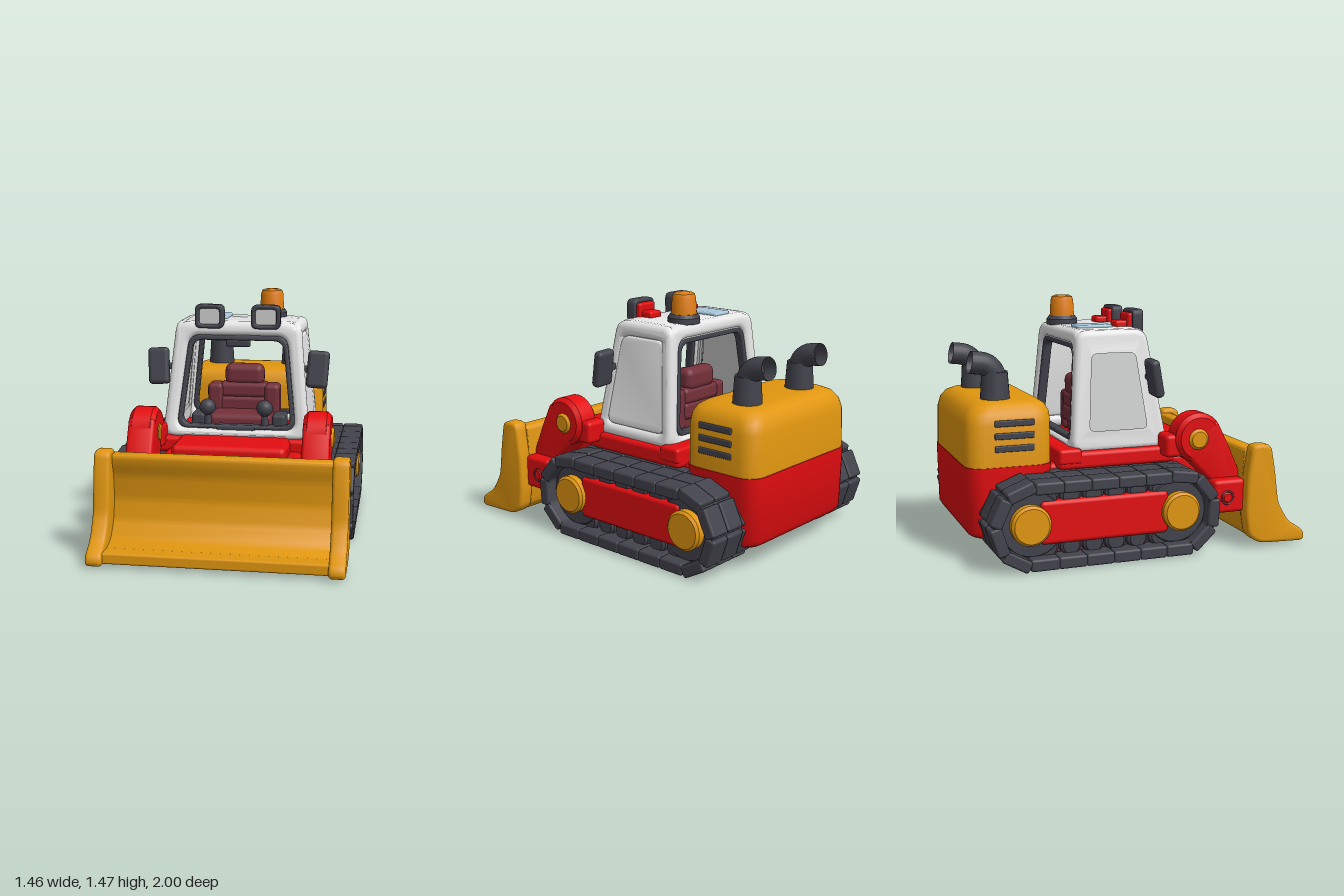
import * as THREE from 'three';
import { toCreasedNormals } from 'three/addons/utils/BufferGeometryUtils.js';
import { RoundedBoxGeometry } from 'three/addons/geometries/RoundedBoxGeometry.js';

const mat = (name, color, side = THREE.FrontSide) => {
  const m = new THREE.MeshStandardMaterial({ color, side });
  m.name = name;
  return m;
};

// Closed outline with rounded corners
function roundPoly(pts, r, Type = THREE.Shape) {
  const s = new Type(), n = pts.length, v = pts.map(p => new THREE.Vector2(...p));
  for (let i = 0; i < n; i++) {
    const c = v[i], p = v[(i + n - 1) % n], q = v[(i + 1) % n];
    const a = c.clone().lerp(p, Math.min(0.48, r / c.distanceTo(p)));
    const b = c.clone().lerp(q, Math.min(0.48, r / c.distanceTo(q)));
    if (i) s.lineTo(a.x, a.y); else s.moveTo(a.x, a.y);
    s.quadraticCurveTo(c.x, c.y, b.x, b.y);
  }
  s.closePath();
  return s;
}

// Extrusion whose outer face lies at z = 0
function slab(shape, d, b) {
  const g = new THREE.ExtrudeGeometry(shape, { depth: d - 2 * b, bevelEnabled: b > 0, bevelThickness: b,
    bevelSize: b, bevelOffset: -b, bevelSegments: 3, curveSegments: 6 });
  return g.translate(0, 0, b - d);
}

// (z, y) profile extruded from x0 to x1
function sideSlab(pts, x0, x1, r, b) {
  const g = slab(roundPoly(pts, r), x1 - x0, b).rotateY(-Math.PI / 2).translate(x0, 0, 0);
  return toCreasedNormals(g, 0.7);
}

// Stack of rounded rectangles, rings = [y, halfX, halfZ, centreZ, cornerRadius]
function loft(rings) {
  const pos = [], idx = [], N = 24;
  for (const [y, hx, hz, cz, r] of rings) for (let c = 0; c < 4; c++) for (let k = 0; k < 6; k++) {
    const a = (c + k / 5) * Math.PI / 2, sx = c === 0 || c === 3 ? 1 : -1, sz = c < 2 ? 1 : -1;
    pos.push(sx * (hx - r) + r * Math.cos(a), y, cz + sz * (hz - r) + r * Math.sin(a));
  }
  const top = rings.length - 1;
  for (let j = 0; j < top; j++) for (let i = 0; i < N; i++) {
    const a = j * N + i, b = j * N + (i + 1) % N;
    idx.push(a, a + N, b, b, a + N, b + N);
  }
  for (let i = 1; i < N - 1; i++) idx.push(0, i, i + 1, top * N, top * N + i + 1, top * N + i);
  const g = new THREE.BufferGeometry();
  g.setAttribute('position', new THREE.Float32BufferAttribute(pos, 3));
  g.setIndex(idx);
  return toCreasedNormals(g, 0.7);
}

export function createModel() {
  const red = mat('red paint', 0xe30d10), yellow = mat('yellow paint', 0xe0960f), dark = mat('dark rubber', 0x42424c, THREE.DoubleSide);
  const white = mat('white cab', 0xe6e6e6), pane = mat('grey glass', 0xcfd0d0, THREE.DoubleSide);
  const maroon = mat('maroon', 0x74303a), blue = mat('blue glass', 0xa9c8dc), orange = mat('orange lamp', 0xe07d10);
  const model = new THREE.Group();

  const add = (name, geo, m, x = 0, y = 0, z = 0, parent = model) => {
    const o = new THREE.Mesh(geo, m);
    o.name = name;
    o.position.set(x, y, z);
    parent.add(o);
    return o;
  };
  // Rounded box given by its extents
  const box = (name, m, x0, x1, y0, y1, z0, z1, r = 0.02, parent = model) =>
    add(name, new RoundedBoxGeometry(x1 - x0, y1 - y0, z1 - z0, 2, r), m, (x0 + x1) / 2, (y0 + y1) / 2, (z0 + z1) / 2, parent);
  // Disc with softened rim, axis along x
  const disc = (name, m, r, x0, x1, y, z, parent = model, b = 0.015) => {
    const d = x1 - x0, p = [[0, 0], [r - b, 0], [r, b], [r, d - b], [r - b, d], [0, d]].map(a => new THREE.Vector2(...a));
    return add(name, toCreasedNormals(new THREE.LatheGeometry(p, 28).rotateZ(-Math.PI / 2), 0.6), m, x0, y, z, parent);
  };

  // Chassis, rear body and hood
  box('chassis', red, -0.41, 0.41, 0.13, 0.53, -0.9, 0.48, 0.03);
  box('deck', red, -0.48, 0.48, 0.5, 0.6, -0.47, 0.25, 0.025);
  box('rearStep', red, -0.485, 0.485, 0.53, 0.62, -0.47, -0.33, 0.02);
  box('frontCover', red, -0.34, 0.34, 0.16, 0.605, 0.18, 0.5, 0.035);
  add('rearBody', loft([[0.13, 0.43, 0.2, -0.75, 0.08], [0.145, 0.455, 0.225, -0.75, 0.1],
    [0.18, 0.465, 0.245, -0.75, 0.1], [0.545, 0.475, 0.255, -0.745, 0.1]]), red);
  add('hood', loft([[0.545, 0.47, 0.25, -0.745, 0.1], [0.78, 0.465, 0.25, -0.74, 0.1], [0.84, 0.45, 0.24, -0.735, 0.1],
    [0.88, 0.425, 0.215, -0.73, 0.1], [0.9, 0.385, 0.18, -0.725, 0.1], [0.905, 0.34, 0.14, -0.72, 0.1]]), yellow);
  for (const s of [-1, 1]) {
    for (let i = 0; i < 3; i++) box('hoodVent', dark, s * 0.466 - 0.008, s * 0.466 + 0.008, 0.63 + i * 0.072, 0.667 + i * 0.072, -0.84, -0.61, 0.007);
    // Exhaust stack with rearward bend
    const stack = new THREE.Group();
    stack.name = 'exhaustStack';
    stack.position.set(s * 0.25, 0, 0);
    model.add(stack);
    add('stackBase', new THREE.CylinderGeometry(0.075, 0.087, 0.18, 24), dark, 0, 0.97, -0.78, stack);
    const path = new THREE.CatmullRomCurve3([[0.98, -0.78], [1.05, -0.785], [1.1, -0.83], [1.118, -0.925]].map(p => new THREE.Vector3(0, ...p)));
    add('stackBend', new THREE.TubeGeometry(path, 14, 0.066, 20), dark, 0, 0, 0, stack);
    add('stackPlug', new THREE.SphereGeometry(0.06, 16, 8), dark, 0, 1.09, -0.82, stack);
  }

  // Tracks
  const R = 0.215, zF = 0.18, zR = -0.68, L = zF - zR, per = 2 * L + 2 * Math.PI * R, pads = 19;
  const along = d => { // point and angle on the loop
    if (d < L) return [zR + d, 0.25 + R, 0];
    if (d < L + Math.PI * R) { const a = (d - L) / R; return [zF + R * Math.sin(a), 0.25 + R * Math.cos(a), a]; }
    if (d < 2 * L + Math.PI * R) return [zF - (d - L - Math.PI * R), 0.25 - R, Math.PI];
    const a = (d - 2 * L) / R;
    return [zR + R * Math.sin(a), 0.25 + R * Math.cos(a), a];
  };
  const loop = (r, Type) => {
    const p = new Type();
    p.absarc(zF, 0.25, r, -Math.PI / 2, Math.PI / 2, false);
    p.absarc(zR, 0.25, r, Math.PI / 2, Math.PI * 1.5, false);
    p.closePath();
    return p;
  };
  const belt = loop(0.238, THREE.Shape);
  belt.holes.push(loop(0.19, THREE.Path));
  const beltGeo = new THREE.ExtrudeGeometry(belt, { depth: 0.35, bevelEnabled: false, curveSegments: 20 }).rotateY(-Math.PI / 2);
  for (const s of [-1, 1]) {
    const track = new THREE.Group();
    track.name = s > 0 ? 'leftTrack' : 'rightTrack';
    model.add(track);
    const span = (a, b) => s > 0 ? [a, b] : [-b, -a];
    add('belt', beltGeo, dark, s > 0 ? 0.72 : -0.37, 0, 0, track);
    for (let i = 0; i < pads; i++) {
      const [z, y, a] = along((i + 0.5) * per / pads);
      for (const [x, w] of [[0.415, 0.115], [0.538, 0.128], [0.667, 0.128]])
        add('trackPad', new RoundedBoxGeometry(w, 0.07, 0.166, 2, 0.014), dark, s * x, y, z, track).rotation.x = a;
    }
    box('innerPlate', maroon, ...span(0.4, 0.6), 0.05, 0.45, -0.7, 0.2, 0.02, track);
    box('sidePanel', red, ...span(0.42, 0.675), 0.13, 0.38, -0.64, 0.13, 0.025, track);
    for (const z of [0.2, -0.7]) {
      disc('endWheel', dark, 0.195, ...span(0.4, 0.66), 0.25, z > 0 ? zF : zR, track);
      disc('hub', yellow, 0.115, ...span(0.6, 0.715), 0.255, z, track);
    }
    for (let i = 0; i < 6; i++) for (const y of [0.11, 0.395])
      disc('roller', dark, 0.062, ...span(0.42, 0.655), y, 0.08 - i * 0.134, track);

    // Lift arm with pin and rear bracket
    const [a0, a1] = span(0.435, 0.595);
    add('liftArm', sideSlab([[0.47, 0.76], [0.55, 0.6], [0.625, 0.43], [0.61, 0.23], [0.46, 0.23], [0.44, 0.39], [0.3, 0.53], [0.26, 0.6]], a0, a1, 0.03, 0.02), red);
    disc('armHead', red, 0.148, a0, a1, 0.655, 0.36, model, 0.025);
    disc('armPin', yellow, 0.062, ...span(0.43, 0.61), 0.65, 0.35);
    box('armBracket', red, ...span(0.42, 0.57), 0.545, 0.68, 0.155, 0.34, 0.025);
    disc('pushPin', red, 0.04, ...span(0.6, 0.68), 0.305, 0.505);
    add('pushPinRing', new THREE.TorusGeometry(0.038, 0.006, 6, 24).rotateY(Math.PI / 2), maroon, s * 0.672, 0.305, 0.505);

    // Blade end plates
    add('bladeEnd', sideSlab([[0.67, 0.62], [0.765, 0.615], [0.795, 0.45], [0.82, 0.26], [0.89, 0.14], [1, 0.07], [1, 0.008],
      [0.7, 0.02], [0.625, 0.07], [0.605, 0.2], [0.61, 0.4], [0.64, 0.6]], ...span(0.63, 0.725), 0.04, 0.02), yellow);
  }
  box('pushBeam', red, -0.67, 0.67, 0.21, 0.41, 0.42, 0.625, 0.025);
  add('blade', sideSlab([[0.625, 0.59], [0.72, 0.59], [0.715, 0.54], [0.69, 0.46], [0.68, 0.32], [0.71, 0.2], [0.78, 0.11],
    [0.86, 0.085], [0.96, 0.07], [0.965, 0.02], [0.7, 0.025], [0.64, 0.08], [0.615, 0.2], [0.61, 0.4]], -0.65, 0.65, 0.025, 0.005), yellow);
  box('bladeEdge', yellow, -0.64, 0.64, 0.02, 0.085, 0.86, 0.965, 0.012);

  // Cab walls: flat slabs leaned onto the sloping faces
  const zFront = y => 0.22 - (y - 0.6) * 0.17, zBack = y => -0.38 + (y - 0.6) * 0.08, xSide = y => 0.45 - (y - 0.6) * 0.1;
  const lean = (geo, face) => {
    const p = geo.attributes.position;
    for (let i = 0; i < p.count; i++) {
      const u = p.getX(i), y = p.getY(i), w = p.getZ(i);
      if (face === 'front') p.setXYZ(i, u, y, zFront(y) + w);
      else if (face === 'back') p.setXYZ(i, -u, y, zBack(y) - w);
      else { const s = face === 'left' ? 1 : -1; p.setXYZ(i, s * (xSide(y) + w), y, -s * u); }
    }
    return toCreasedNormals(geo, 0.7);
  };
  const framed = (outer, r, inner, ri, d, b) => {
    const s = roundPoly(outer, r);
    s.holes.push(roundPoly(inner, ri, THREE.Path));
    return slab(s, d, b);
  };
  const wallEnd = [[-0.45, 0.59], [0.45, 0.59], [0.38, 1.285], [-0.38, 1.285]];
  const opening = [[-0.365, 0.645], [0.365, 0.645], [0.3, 1.205], [-0.3, 1.205]];
  const clear = [[-0.335, 0.67], [0.335, 0.67], [0.275, 1.175], [-0.275, 1.175]];
  for (const f of ['front', 'back']) {
    add(f + 'CabFrame', lean(framed(wallEnd, 0.09, opening, 0.07, 0.08, 0.03), f), white);
    add(f + 'WindowSeal', lean(framed(opening, 0.07, clear, 0.06, 0.055, 0.008).translate(0, 0, -0.012), f), dark);
  }
  for (const f of ['left', 'right']) {
    const k = f === 'left' ? -1 : 1, flip = pts => pts.map(([z, y]) => [k * z, y]);
    const wall = flip([[0.222, 0.59], [-0.38, 0.59], [-0.326, 1.285], [0.104, 1.285]]);
    const win = flip([[0.14, 0.665], [-0.315, 0.665], [-0.275, 1.2], [0.055, 1.2]]);
    const glass = flip([[0.105, 0.695], [-0.28, 0.695], [-0.25, 1.165], [0.04, 1.165]]);
    add(f + 'CabWall', lean(framed(wall, 0.07, win, 0.06, 0.07, 0.03), f), white);
    add(f + 'WindowFrame', lean(framed(win, 0.06, glass, 0.05, 0.05, 0.012).translate(0, 0, -0.006), f), white);
    add(f + 'WindowPane', lean(slab(roundPoly(glass, 0.03), 0.008, 0).translate(0, 0, -0.025), f), pane);
  }
  add('roof', loft([[1.2, 0.37, 0.205, -0.112, 0.06], [1.24, 0.375, 0.208, -0.112, 0.06], [1.27, 0.36, 0.195, -0.112, 0.06], [1.288, 0.33, 0.17, -0.112, 0.06]]), white);
  box('roofHatch', blue, -0.23, -0.09, 1.27, 1.305, -0.27, -0.05, 0.012);

  // Beacon
  const lathe = pts => toCreasedNormals(new THREE.LatheGeometry(pts.map(p => new THREE.Vector2(...p)), 28), 0.6);
  add('beaconBase', lathe([[0.095, 0], [0.095, 0.035], [0.08, 0.055], [0, 0.055]]), dark, 0.165, 1.28, -0.24);
  add('beaconLamp', lathe([[0.076, 0], [0.07, 0.1], [0.062, 0.122], [0.045, 0.13], [0, 0.132]]), orange, 0.165, 1.33, -0.24);

  // Roof lamps, mirrors and control levers
  const rect = (w, h) => [[-w, -h], [w, -h], [w, h], [-w, h]];
  for (const s of [-1, 1]) {
    const x = s * 0.172;
    add('lampRim', toCreasedNormals(framed(rect(0.088, 0.072), 0.035, rect(0.062, 0.047), 0.02, 0.07, 0.012), 0.7), dark, x, 1.32, 0.135);
    box('lampGlass', pane, x - 0.065, x + 0.065, 1.27, 1.37, 0.095, 0.115, 0.005);
    box('lampHousing', red, x - 0.07, x + 0.07, 1.27, 1.37, 0.04, 0.097, 0.015);
    box('lampBracket', red, x - 0.05, x + 0.05, 1.28, 1.325, -0.03, 0.06, 0.015);
    const mirror = add('sideMirror', new RoundedBoxGeometry(0.13, 0.225, 0.06, 3, 0.025), dark, s * 0.488, 1.01, 0.11);
    mirror.rotation.set(-0.2, 0, -s * 0.06);
    box('mirrorArm', dark, s * 0.425 - 0.05, s * 0.425 + 0.05, 0.99, 1.03, 0.085, 0.12, 0.012);
    add('leverShaft', new THREE.CylinderGeometry(0.016, 0.03, 0.2, 12), dark, s * 0.175, 0.68, 0.165);
    add('leverKnob', new THREE.SphereGeometry(0.05, 20, 14), dark, s * 0.175, 0.775, 0.175);
    box('armConsole', dark, s * 0.25 - 0.042, s * 0.25 + 0.042, 0.59, 0.72, -0.05, 0.1, 0.02);
    box('seatBolster', maroon, s * 0.18 - 0.05, s * 0.18 + 0.05, 0.62, 0.87, -0.24, -0.11, 0.03);
  }
  box('dashboard', dark, -0.125, 0.125, 0.59, 0.67, 0.12, 0.2, 0.02);
  box('cabinMirror', dark, -0.075, 0.075, 1.135, 1.18, 0.07, 0.11, 0.012);

  // Seat
  box('seatCushion', maroon, -0.2, 0.2, 0.6, 0.71, -0.22, 0.06, 0.04);
  box('seatBackLower', maroon, -0.16, 0.16, 0.68, 0.79, -0.25, -0.12, 0.03);
  box('seatBackUpper', maroon, -0.155, 0.155, 0.775, 0.875, -0.25, -0.125, 0.03);
  box('headrest', maroon, -0.125, 0.125, 0.85, 0.99, -0.25, -0.14, 0.045);
  return model;
}
